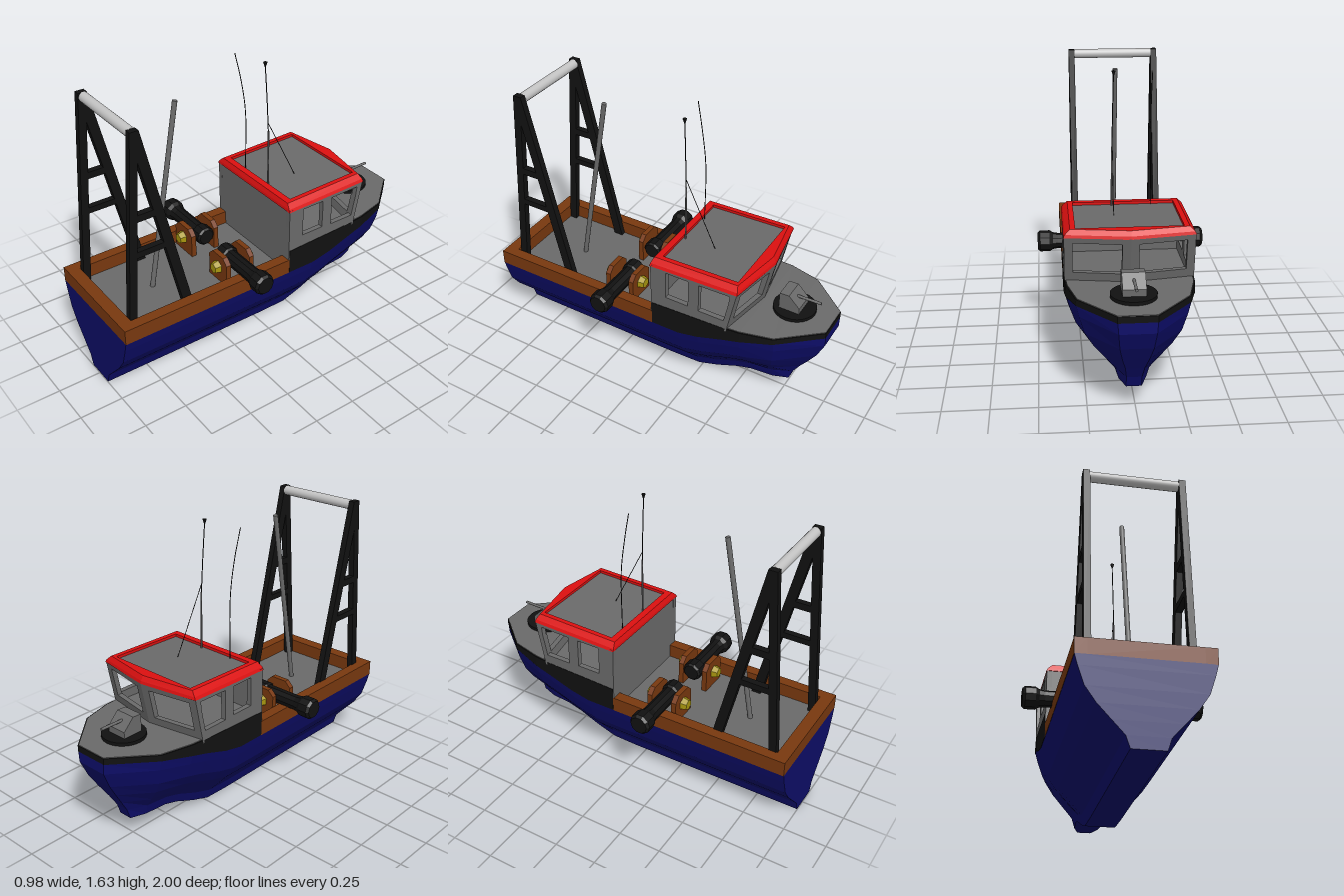
import * as THREE from 'three';

const V = (x, y, z) => new THREE.Vector3(x, y, z);
const mat = (name, color) => Object.assign(new THREE.MeshStandardMaterial({ color }), { name });
const CX = 0.01; // hull centreline

// Faceted normals
function flat(geo) {
  const g = geo.index ? geo.toNonIndexed() : geo;
  g.computeVertexNormals();
  return g;
}

// Skin through rings of equal point count, wound counter-clockwise about the travel direction
function loft(rings, caps = true) {
  const n = rings[0].length, idx = [];
  const quad = (a, b, c, d) => idx.push(a, b, c, a, c, d);
  for (let r = 0; r < rings.length - 1; r++)
    for (let i = 0; i < n; i++) {
      const j = (i + 1) % n;
      quad(r * n + i, r * n + j, (r + 1) * n + j, (r + 1) * n + i);
    }
  if (caps) {
    const e = (rings.length - 1) * n;
    for (let i = 0; i < n / 2 - 1; i++) {
      quad(n - 1 - i, n - 2 - i, i + 1, i);
      quad(e + i, e + i + 1, e + n - 2 - i, e + n - 1 - i);
    }
  }
  const g = new THREE.BufferGeometry().setFromPoints(rings.flat());
  g.setIndex(idx);
  return flat(g);
}

// Outline with holes, extruded one unit and placed by three axis vectors
function panel(outline, holes, u, v, n, origin) {
  const pts = (a) => a.map(([x, y]) => new THREE.Vector2(x, y));
  const shape = new THREE.Shape(pts(outline));
  shape.holes = holes.map((h) => new THREE.Path(pts(h)));
  const g = new THREE.ExtrudeGeometry(shape, { depth: 1, bevelEnabled: false });
  return g.applyMatrix4(new THREE.Matrix4().makeBasis(u, v, n).setPosition(origin));
}
// Outline drawn in (-z, y), thickness along +x
const sidePanel = (outline, holes, x, t) =>
  panel(outline, holes, V(0, 0, -1), V(0, 1, 0), V(t, 0, 0), V(x, 0, 0));

function box(x0, x1, y0, y1, z0, z1) {
  return new THREE.BoxGeometry(x1 - x0, y1 - y0, z1 - z0)
    .translate((x0 + x1) / 2, (y0 + y1) / 2, (z0 + z1) / 2);
}

function rod(a, b, r0, r1 = r0, seg = 12) {
  const d = b.clone().sub(a);
  const q = new THREE.Quaternion().setFromUnitVectors(V(0, 1, 0), d.clone().normalize());
  const mid = a.clone().add(b).multiplyScalar(0.5);
  return new THREE.CylinderGeometry(r1, r0, d.length(), seg)
    .applyQuaternion(q).translate(mid.x, mid.y, mid.z);
}

export function createModel() {
  const model = new THREE.Group();
  model.name = 'workBoat';
  const blue = mat('hullBlue', 0x0d0d68), black = mat('black', 0x111111);
  const grey = mat('grey', 0x6a6a6a), red = mat('roofRed', 0xdc1010);
  const brown = mat('woodBrown', 0x78380f), yellow = mat('boltYellow', 0xa8960f);
  const silver = mat('rollerSilver', 0xc4c4c4);
  const add = (name, geo, m) => {
    const mesh = new THREE.Mesh(geo, m);
    mesh.name = name;
    model.add(mesh);
    return mesh;
  };

  // Hull stations: z at deck, z at keel, keel y, sheer y, rail y, half width
  const stations = [
    [1, 1, 0.01, 0.455, 0.6, 0.34], [-0.06, -0.06, 0.005, 0.455, 0.6, 0.34],
    [-0.23, -0.23, 0.01, 0.455, 0.607, 0.34], [-0.35, -0.35, 0.05, 0.48, 0.611, 0.34],
    [-0.5, -0.48, 0.105, 0.53, 0.617, 0.339], [-0.6, -0.57, 0.13, 0.555, 0.62, 0.333],
    [-0.78, -0.7, 0.13, 0.585, 0.62, 0.288], [-1, -0.79, 0.13, 0.585, 0.62, 0.098],
  ];
  // Section points: height fraction, width fraction, bow rake fraction
  const section = [
    [1, 1, 1], [0.87, 0.955, 1], [0.65, 0.86, 0.79], [0.47, 0.7, 0.55],
    [0.3, 0.5, 0.31], [0.14, 0.31, 0.1], [0, 0.25, 0],
  ];
  add('hull', loft(stations.map(([z, zk, k, s, , h]) => {
    const half = section.map(([f, w, r]) =>
      V(Math.max(h * w, 0.04), k + (s - k) * f, zk + (z - zk) * r));
    const other = half.map((p) => V(-p.x, p.y, p.z)).reverse();
    return [...half, ...other].map((p) => p.setX(p.x + CX));
  })), blue);

  // Raised black bow band and the deck on it
  const slab = (h, y0, y1, z) =>
    [V(CX + h, y1, z), V(CX + h, y0, z), V(CX - h, y0, z), V(CX - h, y1, z)];
  const bow = stations.slice(1);
  add('bowBand', loft(bow.map(([z, , , s, t, h]) => slab(h + 0.002, s, t, z))), black);
  add('foredeck', loft(bow.map(([z, , , , t, h]) =>
    slab(h * 0.985, t - 0.01, t + 0.004, Math.max(z, -0.997)))), grey);

  // Aft deck and bulwarks
  add('aftDeck', box(CX - 0.3, CX + 0.3, 0.44, 0.46, -0.06, 0.95), grey);
  for (const s of [-1, 1])
    add('sideBulwark', box(CX + s * 0.31 - 0.031, CX + s * 0.31 + 0.031, 0.453, 0.54, -0.06, 1), brown);
  add('sternBulwark', box(CX - 0.28, CX + 0.28, 0.453, 0.54, 0.93, 1), brown);

  // Cabin walls with open windows
  const wallOutline = [[0.058, 0.6], [0.525, 0.6], [0.58, 0.875], [0.053, 0.86]];
  const wallWindows = [
    [[0.15, 0.675], [0.29, 0.675], [0.29, 0.845], [0.15, 0.845]],
    [[0.355, 0.67], [0.52, 0.67], [0.54, 0.85], [0.355, 0.845]],
  ];
  for (const x of [CX - 0.34, CX + 0.31])
    add('cabinSide', sidePanel(wallOutline, wallWindows, x, 0.03), grey);
  const square = (a, b, c, d) => [[a, c], [b, c], [b, d], [a, d]];
  const lean = V(0, 0.27, -0.055), thick = V(0, 0, 0.03);
  for (const [u, origin] of [
    [V(0.34, 0, 0.06), V(CX, 0.605, -0.585)],
    [V(0.34, 0, -0.06), V(CX - 0.34, 0.605, -0.525)],
  ]) add('cabinFront', panel(square(0, 1, 0, 1), [square(0.13, 0.87, 0.24, 0.88)], u, lean, thick, origin), grey);
  add('cabinBack', box(CX - 0.34, CX + 0.34, 0.455, 0.865, -0.085, -0.055), grey);

  // Roof: sloped red frame around a sunken panel
  const roofRing = (w, back, side, peak, y) =>
    [[-w, back], [w, back], [w, side], [0, peak], [-w, side]]
      .map(([x, z]) => V(CX + x, y - z * 0.028, z));
  add('roofFrame', loft([
    roofRing(0.3, -0.09, -0.54, -0.58, 0.856), roofRing(0.343, -0.05, -0.583, -0.64, 0.856),
    roofRing(0.335, -0.052, -0.58, -0.636, 0.872),
    roofRing(0.308, -0.062, -0.568, -0.62, 0.898), roofRing(0.28, -0.1, -0.555, -0.555, 0.898),
    roofRing(0.28, -0.1, -0.555, -0.555, 0.87), roofRing(0.3, -0.09, -0.54, -0.58, 0.856),
  ], false), red);
  add('roofPanel', loft([0.862, 0.882].map((y) => {
    const r = roofRing(0.295, -0.09, -0.565, 0, y);
    return [r[0], r[1], r[2], r[4]];
  })), grey);

  // Deck gun on its round base
  add('gunBase', new THREE.CylinderGeometry(0.12, 0.12, 0.02, 24).translate(CX, 0.633, -0.77), black);
  add('gunShield', sidePanel(
    [[0.7, 0.64], [0.82, 0.64], [0.82, 0.68], [0.755, 0.745], [0.7, 0.742]], [], CX - 0.06, 0.12), grey);
  add('gunBarrel', rod(V(CX, 0.714, -0.76), V(CX, 0.718, -0.92), 0.008), grey);

  // Winches, mirrored on both sides
  const drum = [[0, 0.08], [0.045, 0.08], [0.056, 0.09], [0.056, 0.15], [0.045, 0.16], [0.045, 0.37],
    [0.05, 0.4], [0.062, 0.42], [0.062, 0.475], [0.05, 0.49], [0, 0.49]]
    .map(([r, y]) => new THREE.Vector2(r, y));
  for (const s of [-1, 1]) {
    add('winchDrum', flat(new THREE.LatheGeometry(drum, 10)
      .rotateZ(-s * Math.PI / 2).translate(0, 0.565, 0.21)), black);
    const plate = [[-0.085, 0.455], [0.085, 0.455], [0.085, 0.595], [0.05, 0.63], [-0.05, 0.63], [-0.085, 0.595]];
    for (const e of [-1, 1]) {
      const z = 0.215 + e * 0.077;
      add('winchPlate', panel(plate, [], V(1, 0, 0), V(0, 1, 0), V(0, 0, 0.03), V(s * 0.175, 0, z - 0.015)), brown);
      add('winchBolt', flat(rod(V(s * 0.178, 0.552, z), V(s * 0.178, 0.552, z + e * 0.05), 0.043, 0.03, 6)), yellow);
    }
  }

  // Stern gantry: two ladder frames joined by a roller
  const aft = (y) => [-0.885 + 0.0699 * (y - 0.455), y];
  const fore = (y) => [-0.585 - 0.236 * (y - 0.455), y];
  const frame = [[-0.93, 0.455], [-0.85, 1.6], [-0.8, 1.6], [-0.53, 0.455],
    fore(0.455), fore(0.89), aft(0.89), aft(0.455)];
  const gaps = [[aft(0.925), fore(0.925), fore(1.1), aft(1.1)], [aft(1.14), fore(1.14), aft(1.43)]];
  for (const x of [-0.275, 0.235]) add('gantryFrame', sidePanel(frame, gaps, x, 0.036), black);
  add('gantryRoller', rod(V(-0.24, 1.575, 0.82), V(0.236, 1.575, 0.82), 0.028, 0.028, 20), silver);

  // Cargo boom
  add('boom', rod(V(CX, 0.455, 0.635), V(CX, 1.545, 0.44), 0.014), grey);

  // Aerials and stay wire
  const wire = (pts, r) => new THREE.TubeGeometry(new THREE.CatmullRomCurve3(pts), 16, r, 5);
  add('whipAerial', wire([V(-0.143, 0.88, -0.112), V(-0.143, 1.25, -0.112),
    V(-0.147, 1.45, -0.085), V(-0.157, 1.62, -0.05)], 0.0025), black);
  add('aerialBase', rod(V(0.073, 0.88, -0.113), V(0.07, 1.22, -0.113), 0.005), grey);
  add('mastAerial', wire([V(0.07, 1.2, -0.113), V(0.065, 1.4, -0.105), V(0.058, 1.62, -0.094)], 0.0028), black);
  add('aerialTip', rod(V(0.058, 1.605, -0.094), V(0.058, 1.632, -0.094), 0.003, 0.012, 8), black);
  add('stayWire', rod(V(0.068, 1.27, -0.112), V(0.075, 0.88, -0.305), 0.002, 0.002, 5), black);

  return model;
}
